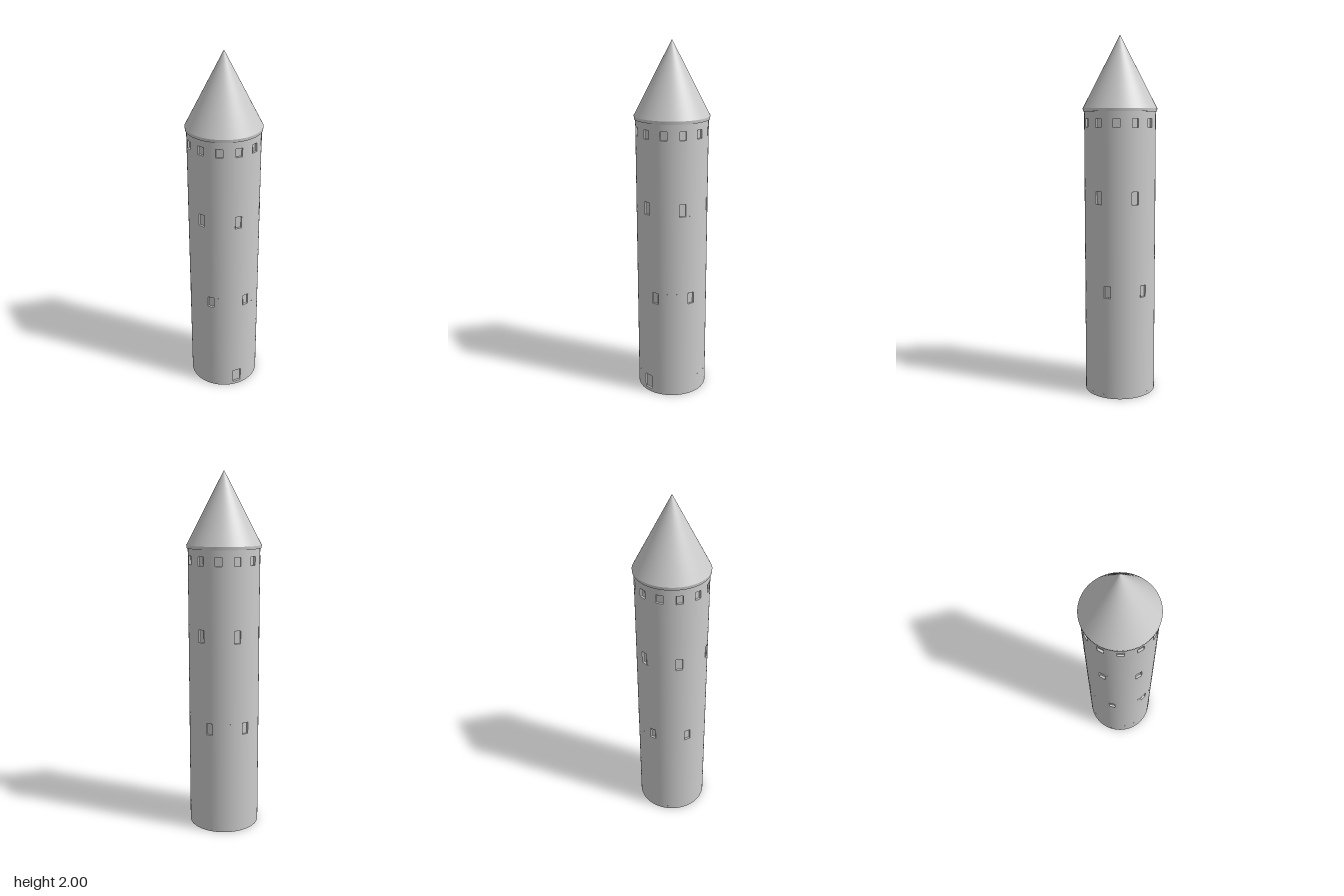
import * as THREE from 'three';

const R = 0.198;          // wall radius
const ROOF_R = 0.206;     // eaves radius
const EAVES = 1.588;      // top of the wall
const DEPTH = 0.012;      // depth of the recesses

export function createModel() {
  const stone = new THREE.MeshStandardMaterial({ color: 0xcccccc, side: THREE.DoubleSide });
  stone.name = 'grey stone';
  const tower = new THREE.Group();
  tower.name = 'roundTower';

  const add = (parent, name, geometry, y) => {
    const mesh = new THREE.Mesh(geometry, stone);
    mesh.name = name;
    mesh.position.y = y;
    parent.add(mesh);
    return mesh;
  };

  // Curved piece of wall between two heights, over an arc
  const wall = (parent, y0, y1, start = 0, arc = Math.PI * 2) => {
    const segments = Math.max(2, Math.ceil(arc / (Math.PI / 48)));
    const g = new THREE.CylinderGeometry(R, R, y1 - y0, segments, 1, true, start, arc);
    add(parent, 'wall', g, (y0 + y1) / 2);
  };

  // Shallow box with its outer face left open
  const recessGeometry = (w, h) => {
    const g = new THREE.BoxGeometry(w, h, DEPTH);
    const index = Array.from(g.index.array);
    index.splice(24, 6);
    g.setIndex(index);
    g.clearGroups();
    return g;
  };

  // Rows of openings from the ground up
  const rows = [
    { name: 'door', y0: 0.02, y1: 0.105, width: 0.048, count: 1, turn: 0 },
    { name: 'lowerWindow', y0: 0.575, y1: 0.64, width: 0.036, count: 6, turn: Math.PI / 12 },
    { name: 'middleWindow', y0: 1.09, y1: 1.16, width: 0.037, count: 6, turn: 0 },
    { name: 'upperWindow', y0: 1.503, y1: 1.55, width: 0.037, count: 12, turn: 0 },
  ];

  let top = 0;
  for (const { name, y0, y1, width, count, turn } of rows) {
    wall(tower, top, y0);
    const band = new THREE.Group();
    band.name = name + 'Band';
    tower.add(band);
    const step = (Math.PI * 2) / count;
    const half = Math.asin(width / 2 / R);
    const geometry = recessGeometry(width, y1 - y0);
    for (let i = 0; i < count; i++) {
      const a = turn + i * step;
      const recess = add(band, name, geometry, (y0 + y1) / 2);
      const r = R - DEPTH / 2;
      recess.position.x = Math.sin(a) * r;
      recess.position.z = Math.cos(a) * r;
      recess.rotation.y = a;
      wall(band, y0, y1, a + half, step - 2 * half);
    }
    top = y1;
  }
  wall(tower, top, EAVES);

  // Floor underneath
  const floor = add(tower, 'floor', new THREE.CircleGeometry(R, 96), 0);
  floor.rotation.x = Math.PI / 2;

  // Eaves rim and conical roof
  const rimTop = 1.605;
  add(tower, 'eavesRim', new THREE.CylinderGeometry(ROOF_R, ROOF_R - 0.002, rimTop - EAVES, 96), (rimTop + EAVES) / 2);
  add(tower, 'roof', new THREE.ConeGeometry(ROOF_R, 2 - rimTop, 96, 8, true), (2 + rimTop) / 2);

  return tower;
}
